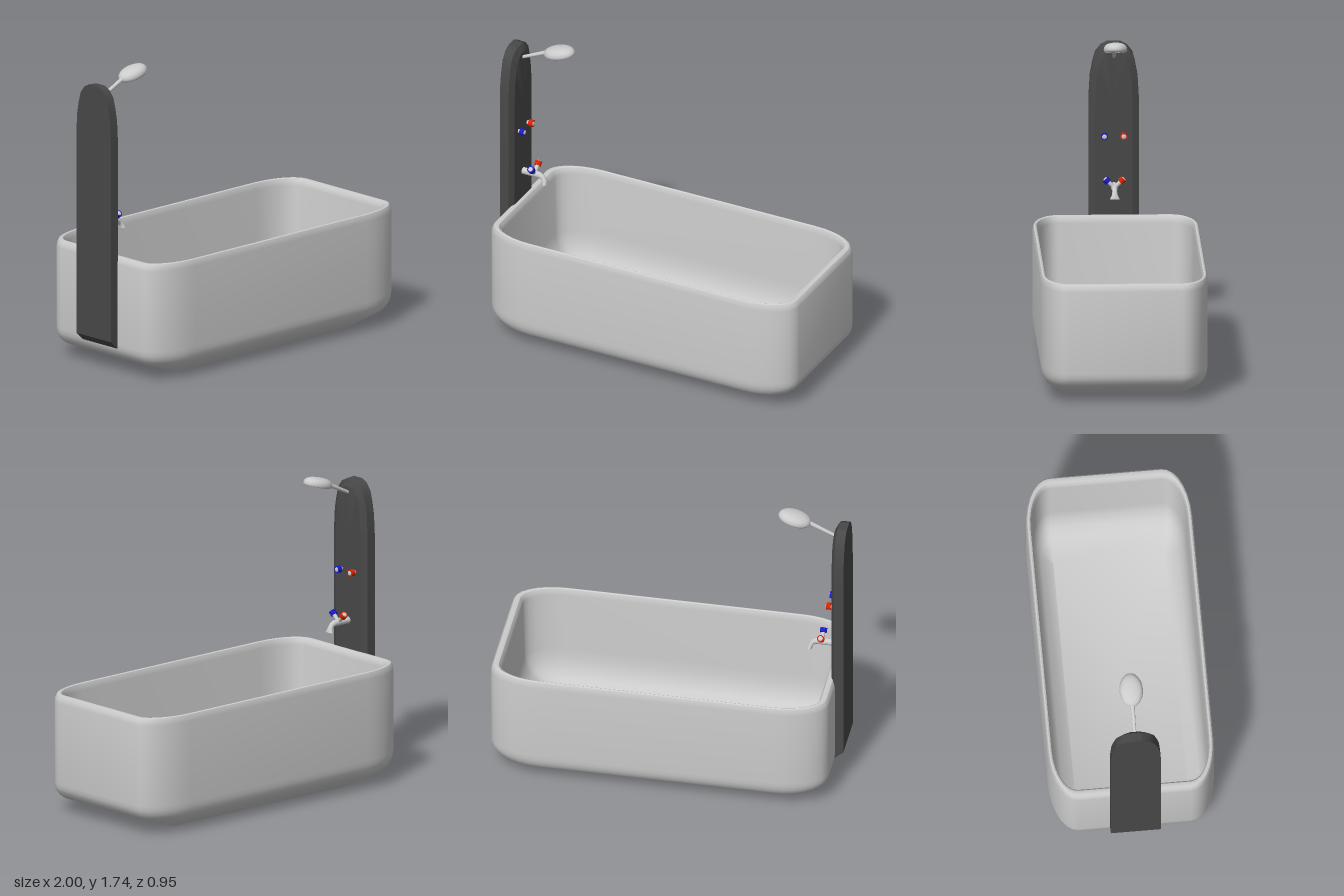
import * as THREE from 'three';
import { toCreasedNormals } from 'three/addons/utils/BufferGeometryUtils.js';

const mat = (color) => new THREE.MeshStandardMaterial({ color });
const grey = mat(0xcccccc), dark = mat(0x484848), red = mat(0xdd2200), blue = mat(0x1a1acc);

function part(parent, name, geometry, material, x = 0, y = 0, z = 0) {
  const m = new THREE.Mesh(geometry, material);
  m.name = name;
  m.position.set(x, y, z);
  parent.add(m);
  return m;
}

// Skin a list of equal-length rings (counter-clockwise seen from the end) and cap both ends
function loft(rings, crease) {
  const n = rings[0].length, pos = [], idx = [];
  rings.forEach((r) => r.forEach((p) => pos.push(...p)));
  for (let i = 0; i < rings.length - 1; i++)
    for (let j = 0; j < n; j++) {
      const a = i * n + j, b = i * n + (j + 1) % n, c = b + n, d = a + n;
      idx.push(a, b, c, a, c, d);
    }
  [0, rings.length - 1].forEach((i) => {
    const mid = pos.length / 3;
    pos.push(...[0, 1, 2].map((k) => rings[i].reduce((s, p) => s + p[k], 0) / n));
    for (let j = 0; j < n; j++) {
      const a = i * n + j, b = i * n + (j + 1) % n;
      idx.push(mid, i ? a : b, i ? b : a);
    }
  });
  const g = new THREE.BufferGeometry();
  g.setAttribute('position', new THREE.Float32BufferAttribute(pos, 3));
  g.setIndex(idx);
  // enlarged while creasing, so close vertices stay distinct
  g.scale(100, 100, 100);
  return toCreasedNormals(g, crease).scale(0.01, 0.01, 0.01);
}

// Core rectangle whose corners are grown by s into elliptical rounds
function tubRing(s, y) {
  const ring = [], steps = 7;
  for (let q = 0; q < 4; q++) {
    const sx = q === 0 || q === 3 ? 1 : -1, sz = q < 2 ? -1 : 1;
    for (let k = 0; k <= steps; k++) {
      const a = (q + k / steps) * Math.PI / 2;
      ring.push([0.025 + sx * 0.675 + s * 0.3 * Math.cos(a), y, sz * 0.32 - s * 0.153 * Math.sin(a)]);
    }
  }
  return ring;
}

// Panel outline at depth x, inset from the full width
function panelRing(x, widthScale, bottom, drop) {
  const half = [[0.142, bottom], [0.142, 1.38], [0.135, 1.5], [0.122, 1.57], [0.106, 1.63], [0.075, 1.67], [0.035, 1.69]];
  const right = half.map(([z, y], i) => [x, i ? y - drop : y, -z * widthScale]);
  const left = right.map(([px, y, z]) => [px, y, -z]).reverse();
  return [...right, ...left];
}

// Perforated round plate lying flat, facing up
function grille(radius, holeRadius, rings) {
  const shape = new THREE.Shape().absarc(0, 0, radius, 0, Math.PI * 2);
  rings.forEach(([r, count]) => {
    for (let i = 0; i < count; i++) {
      const a = i / count * Math.PI * 2;
      shape.holes.push(new THREE.Path().absarc(r * Math.cos(a), r * Math.sin(a), holeRadius, 0, Math.PI * 2, true));
    }
  });
  return new THREE.ExtrudeGeometry(shape, { depth: 0.004, bevelEnabled: false, curveSegments: 16 }).rotateX(-Math.PI / 2);
}

// Tap knob along +y: stem, coloured grip, rounded cap
function knob(name, color, stem) {
  const g = new THREE.Group();
  g.name = name;
  part(g, 'stem', new THREE.CylinderGeometry(0.012, 0.012, stem, 20), grey, 0, stem / 2);
  part(g, 'grip', new THREE.CylinderGeometry(0.02, 0.02, 0.026, 24), color, 0, stem + 0.013);
  const cap = part(g, 'cap', new THREE.SphereGeometry(0.014, 20, 8, 0, Math.PI * 2, 0, Math.PI / 2), grey, 0, stem + 0.026);
  cap.scale.y = 0.4;
  return g;
}

export function createModel() {
  const model = new THREE.Group();
  model.name = 'bathtubWithShower';

  // Tub: up the outside, over the rim, down to the inner floor
  const tubProfile = [
    [0, 0], [0.8, 0.08], [0.9, 0.102], [0.96, 0.125], [0.99, 0.148], [1, 0.175], [1, 0.65],
    [0.985, 0.673], [0.95, 0.688], [0.9, 0.692], [0.85, 0.688], [0.815, 0.673], [0.8, 0.65],
    [0.77, 0.28], [0.73, 0.21], [0.62, 0.15], [0.45, 0.11], [0, 0.06],
  ];
  part(model, 'tub', loft(tubProfile.map(([s, y]) => tubRing(s, y)), 0.6), grey);

  // Drain
  part(model, 'drain', grille(0.03, 0.005, [[0.018, 8], [0, 1]]), grey, -0.525, 0.062, 0);
  part(model, 'drainRing', new THREE.TorusGeometry(0.03, 0.003, 8, 32).rotateX(Math.PI / 2), grey, -0.525, 0.065, 0);
  part(model, 'drainWell', new THREE.CylinderGeometry(0.028, 0.028, 0.002, 24), dark, -0.525, 0.0605, 0);

  // Wall panel with bevelled front edge
  part(model, 'showerPanel', loft([
    panelRing(-1, 1, 0.2, 0.005), panelRing(-0.945, 1, 0.15, 0.01), panelRing(-0.924, 0.75, 0.15, 0.05),
  ], 0.45), dark);

  // Shower arm
  const from = new THREE.Vector3(-0.945, 1.6, 0), to = new THREE.Vector3(-0.745, 1.693, 0);
  const dir = to.clone().sub(from);
  const arm = part(model, 'showerArm', new THREE.CylinderGeometry(0.013, 0.009, dir.length(), 16), grey);
  arm.position.copy(from).add(to).multiplyScalar(0.5);
  arm.quaternion.setFromUnitVectors(new THREE.Vector3(0, 1, 0), dir.normalize());

  // Oval shower head, tilted, with perforated underside
  const head = new THREE.Group();
  head.name = 'showerHead';
  const headProfile = [[0, 0.006], [0.85, 0.006], [0.86, 0], [0.93, 0.001], [0.98, 0.008], [1, 0.018], [0.95, 0.031], [0.82, 0.042], [0.6, 0.05], [0.3, 0.054], [0, 0.055]];
  const shell = part(head, 'headShell', new THREE.LatheGeometry(headProfile.map(([r, y]) => new THREE.Vector2(r, y)), 40), grey);
  shell.scale.set(0.096, 1, 0.067);
  const plate = part(head, 'headGrille', grille(0.85, 0.065, [[0.68, 16], [0.44, 10], [0.2, 5]]), grey, 0, -0.001, 0);
  plate.scale.set(0.096, 1, 0.067);
  const back = part(head, 'headNozzles', new THREE.CylinderGeometry(0.84, 0.84, 0.002, 32), dark, 0, 0.004, 0);
  back.scale.set(0.096, 1, 0.067);
  head.position.set(-0.688, 1.682, 0);
  head.rotation.z = 0.25;
  model.add(head);

  // Spout: x, y, half width, half thickness, direction angle
  const spout = [
    [-0.935, 0.86, 0.02, 0.02, 0], [-0.85, 0.86, 0.019, 0.02, 0], [-0.82, 0.858, 0.016, 0.019, -0.25],
    [-0.8, 0.85, 0.014, 0.016, -0.7], [-0.788, 0.833, 0.017, 0.014, -1.15], [-0.783, 0.822, 0.023, 0.013, -1.35], [-0.781, 0.81, 0.028, 0.013, -1.4],
  ].map(([x, y, w, h, t]) => Array.from({ length: 20 }, (_, i) => {
    const a = i / 20 * Math.PI * 2, v = Math.sin(a) * h;
    return [x - Math.sin(t) * v, y + Math.cos(t) * v, -Math.cos(a) * w];
  }));
  part(model, 'spout', loft(spout, 0.8), grey);

  // Hot and cold knobs: a splayed pair on the spout, a pair on the panel
  [[1, 'cold', blue], [-1, 'hot', red]].forEach(([side, label, color]) => {
    const tap = knob(label + 'TapKnob', color, 0.048);
    tap.position.set(-0.85, 0.862, 0);
    tap.rotation.x = side * Math.PI / 4;
    const valve = knob(label + 'ShowerKnob', color, 0.018);
    valve.position.set(-0.93, 1.15, side * 0.055);
    valve.rotation.z = -Math.PI / 2;
    model.add(tap, valve);
  });

  return model;
}
